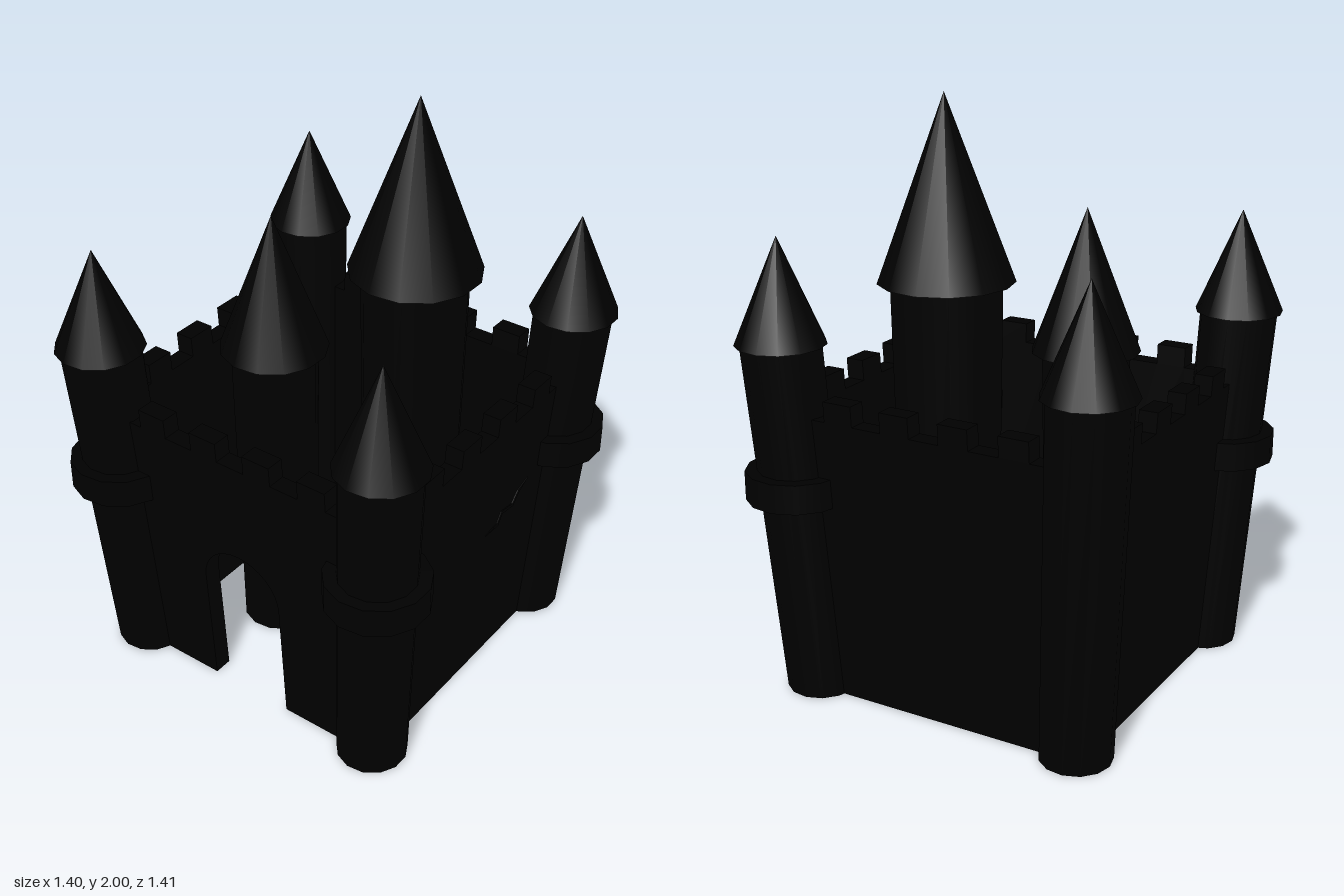
import * as THREE from 'three';

const stone = new THREE.MeshStandardMaterial({ color: 0x000000 });
const SIDES = 13;
const WALL_TOP = 0.99, MERLON_TOP = 1.06, HALF = 0.45;

function add(parent, name, geometry, x = 0, y = 0, z = 0) {
  const mesh = new THREE.Mesh(geometry, stone);
  mesh.name = name;
  mesh.position.set(x, y, z);
  parent.add(mesh);
  return mesh;
}

// Drum standing on y = 0, with a vertex towards -x
function drum(rTop, rBottom, height) {
  return new THREE.CylinderGeometry(rTop, rBottom, height, SIDES, 1, false, -Math.PI / 2)
    .translate(0, height / 2, 0);
}

// Slants a geometry outwards as it rises
function lean(geometry, kx, kz) {
  return geometry.applyMatrix4(new THREE.Matrix4().set(
    1, kx, 0, 0,
    0, 1, 0, 0,
    0, kz, 1, 0,
    0, 0, 0, 1));
}

// Battlemented wall outline, with an arched gate if wanted, leaning outwards (+z)
function wallGeometry(hasGate) {
  const s = new THREE.Shape();
  s.moveTo(-HALF, 0);
  if (hasGate) {
    const r = 0.155, spring = 0.46;
    s.lineTo(-r, 0);
    s.lineTo(-r, spring);
    s.absarc(0, spring, r, Math.PI, 0, true);
    s.lineTo(r, 0);
  }
  s.lineTo(HALF, 0);
  s.lineTo(HALF, WALL_TOP);
  for (const x of [0.32, 0.107, -0.107, -0.32]) {
    s.lineTo(x + 0.053, WALL_TOP);
    s.lineTo(x + 0.053, MERLON_TOP);
    s.lineTo(x - 0.053, MERLON_TOP);
    s.lineTo(x - 0.053, WALL_TOP);
  }
  s.lineTo(-HALF, WALL_TOP);
  s.closePath();
  const g = new THREE.ExtrudeGeometry(s, { depth: 0.065, bevelEnabled: false, curveSegments: 8 });
  return lean(g.translate(0, 0, 0.46), 0, 0.06);
}

// Thin jagged crack lying on the outside of a wall
function crackGeometry() {
  const line = [[0.05, 0.58], [0.12, 0.59], [0.14, 0.63], [0.21, 0.62], [0.24, 0.66], [0.3, 0.68]];
  const under = line.slice(1, -1).reverse().map(([x, y]) => [x + 0.008, y - 0.014]);
  const s = new THREE.Shape([...line, ...under].map(([x, y]) => new THREE.Vector2(x, y)));
  const g = new THREE.ExtrudeGeometry(s, { depth: 0.008, bevelEnabled: false });
  return lean(g.translate(0, 0, 0.521), 0, 0.06);
}

export function createModel() {
  const castle = new THREE.Group();
  castle.name = 'castle';

  // Four curtain walls, the front one with the gate
  ['frontWall', 'leftWall', 'backWall', 'rightWall'].forEach((name, i) => {
    add(castle, name, wallGeometry(i === 0)).rotation.y = i * Math.PI / 2;
  });
  add(castle, 'wallCrack', crackGeometry()).rotation.y = Math.PI / 2;

  // Leaning corner towers; all but the back right one carry a stone band
  const k = 0.053, foot = 0.49;
  for (const sx of [-1, 1]) {
    for (const sz of [-1, 1]) {
      const tower = new THREE.Group();
      tower.name = (sz > 0 ? 'front' : 'back') + (sx > 0 ? 'Left' : 'Right') + 'Tower';
      add(tower, 'towerShaft', lean(drum(0.133, 0.12, 1.225), sx * k, sz * k), sx * foot, 0, sz * foot);
      const top = foot + k * 1.22;
      add(tower, 'towerRoof', drum(0, 0.15, 0.35), sx * top, 1.217, sz * top);
      if (sx > 0 || sz > 0) {
        const mid = foot + k * 0.74;
        add(tower, 'towerBand', drum(0.173, 0.173, 0.1), sx * mid, 0.692, sz * mid);
      }
      castle.add(tower);
    }
  }

  // Two free-standing keep towers in the courtyard
  const keeps = [
    { name: 'greatKeep', x: 0.152, z: -0.2, r0: 0.16, r1: 0.183, h: 1.395, roof: 0.226, tip: 2 },
    { name: 'smallKeep', x: -0.193, z: 0.114, r0: 0.134, r1: 0.149, h: 1.132, roof: 0.184, tip: 1.615 },
  ];
  for (const p of keeps) {
    const keep = new THREE.Group();
    keep.name = p.name;
    keep.position.set(p.x, 0, p.z);
    add(keep, 'keepShaft', drum(p.r1, p.r0, p.h));
    add(keep, 'keepRoof', drum(0, p.roof, p.tip - p.h), 0, p.h, 0);
    castle.add(keep);
  }
  return castle;
}
